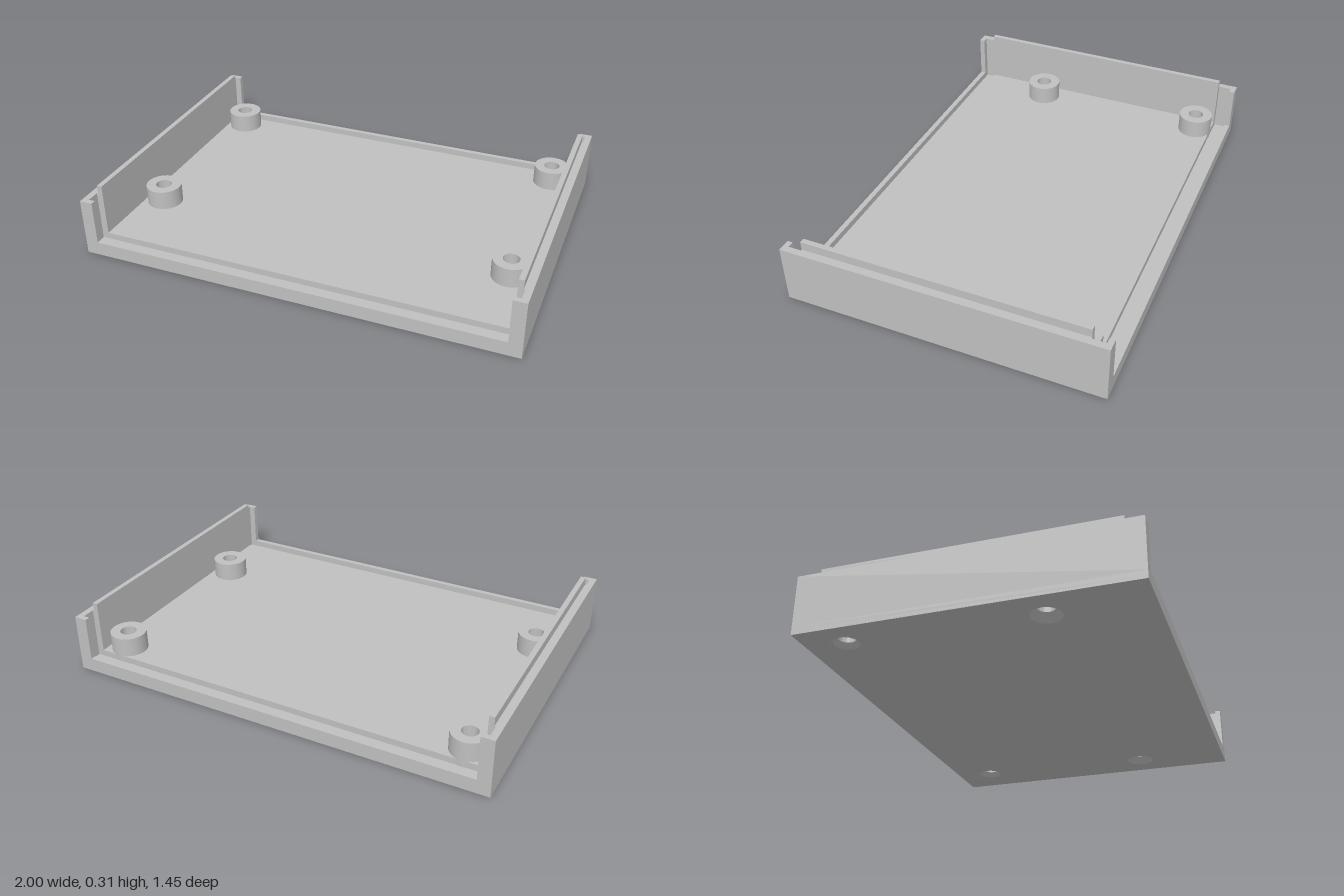
import * as THREE from 'three';
import { toCreasedNormals } from 'three/addons/utils/BufferGeometryUtils.js';

const W = 1, D = 0.725;               // half width and half depth
const FLOOR = 0.065, WALL = 0.27, LIP = 0.31;
const INNER = 0.94, SLOT_X = 0.97;    // wall inner face, slot bottom
const SLOT_A = 0.64, SLOT_B = 0.70;   // panel slot, in z
const SLOT_Y = 0.035, RECESS = 0.012;
const HOLE = 0.037, SINK = 0.066, FOOT = 0.112;

export function createModel() {
  const model = new THREE.Group();
  model.name = 'enclosureBase';
  const plastic = new THREE.MeshStandardMaterial({ color: 0xc0c0c0 });
  plastic.name = 'grey plastic';

  const add = (name, geometry) => {
    const mesh = new THREE.Mesh(geometry, plastic);
    mesh.name = name;
    model.add(mesh);
    return mesh;
  };

  // Plan outline given as [x, z] points, raised from y0 to y1, with [x, z, r] holes
  const slab = (name, outline, y0, y1, holes = []) => {
    const shape = new THREE.Shape(outline.map(([x, z]) => new THREE.Vector2(x, -z)));
    for (const [x, z, r] of holes) {
      shape.holes.push(new THREE.Path().absarc(x, -z, r, 0, Math.PI * 2, true));
    }
    const geo = new THREE.ExtrudeGeometry(shape, { depth: y1 - y0, bevelEnabled: false, curveSegments: 40 });
    geo.rotateX(-Math.PI / 2).translate(0, y0, 0);
    return add(name, toCreasedNormals(geo, 0.5));
  };
  const rect = (x0, x1, z0, z1) => [[x0, z0], [x1, z0], [x1, z1], [x0, z1]];

  const posts = [], feet = [];
  for (const s of [-1, 1]) {
    posts.push([s * 0.845, -0.56], [s * 0.845, 0.295]);
    feet.push([s * 0.82, -0.545, FOOT], [s * 0.82, 0.545, FOOT]);
  }
  const frontSinks = posts.filter(([, z]) => z > 0).map(([x, z]) => [x, z, SINK]);

  // Floor: underside with foot recesses, middle sheet, raised inner plate
  slab('underside', rect(-W, W, -D, D), 0, RECESS, [...feet, ...frontSinks]);
  slab('floorSheet', rect(-W, W, -D, D), RECESS, SLOT_Y, posts.map(([x, z]) => [x, z, SINK]));
  slab('floorPlate', rect(-INNER, INNER, -SLOT_A, SLOT_A), SLOT_Y, FLOOR, posts.map(([x, z]) => [x, z, HOLE]));

  // Low rims outside the front and back slots
  for (const s of [-1, 1]) {
    slab(s > 0 ? 'frontRim' : 'backRim', rect(-INNER, INNER, s * SLOT_B, s * D), SLOT_Y, FLOOR);
  }

  // Side walls with notched panel slots, and the lip on top
  const wall = [
    [W, -D], [W, D], [INNER, D], [INNER, SLOT_B], [SLOT_X, SLOT_B], [SLOT_X, SLOT_A], [INNER, SLOT_A],
    [INNER, -SLOT_A], [SLOT_X, -SLOT_A], [SLOT_X, -SLOT_B], [INNER, -SLOT_B], [INNER, -D],
  ];
  for (const s of [-1, 1]) {
    const side = s > 0 ? 'left' : 'right';
    slab(side + 'Wall', wall.map(([x, z]) => [s * x, z]), SLOT_Y, WALL);
    slab(side + 'Lip', rect(s * INNER, s * 0.964, -SLOT_A, SLOT_A), WALL, LIP);
  }

  // Screw posts with through holes and countersinks below
  for (const [x, z] of posts) {
    const back = z < 0;
    const profile = [[0.0825, SLOT_Y], [0.0825, 0.155], [HOLE, 0.155], [HOLE, SLOT_Y]];
    if (back) profile.push([0.056, RECESS], [SINK, RECESS]);
    else profile.push([SINK, 0]);
    const geo = new THREE.LatheGeometry(profile.map(([r, y]) => new THREE.Vector2(r, y)), 40);
    add('screwPost', toCreasedNormals(geo, 0.5)).position.set(x, 0, z);
  }

  return model;
}
